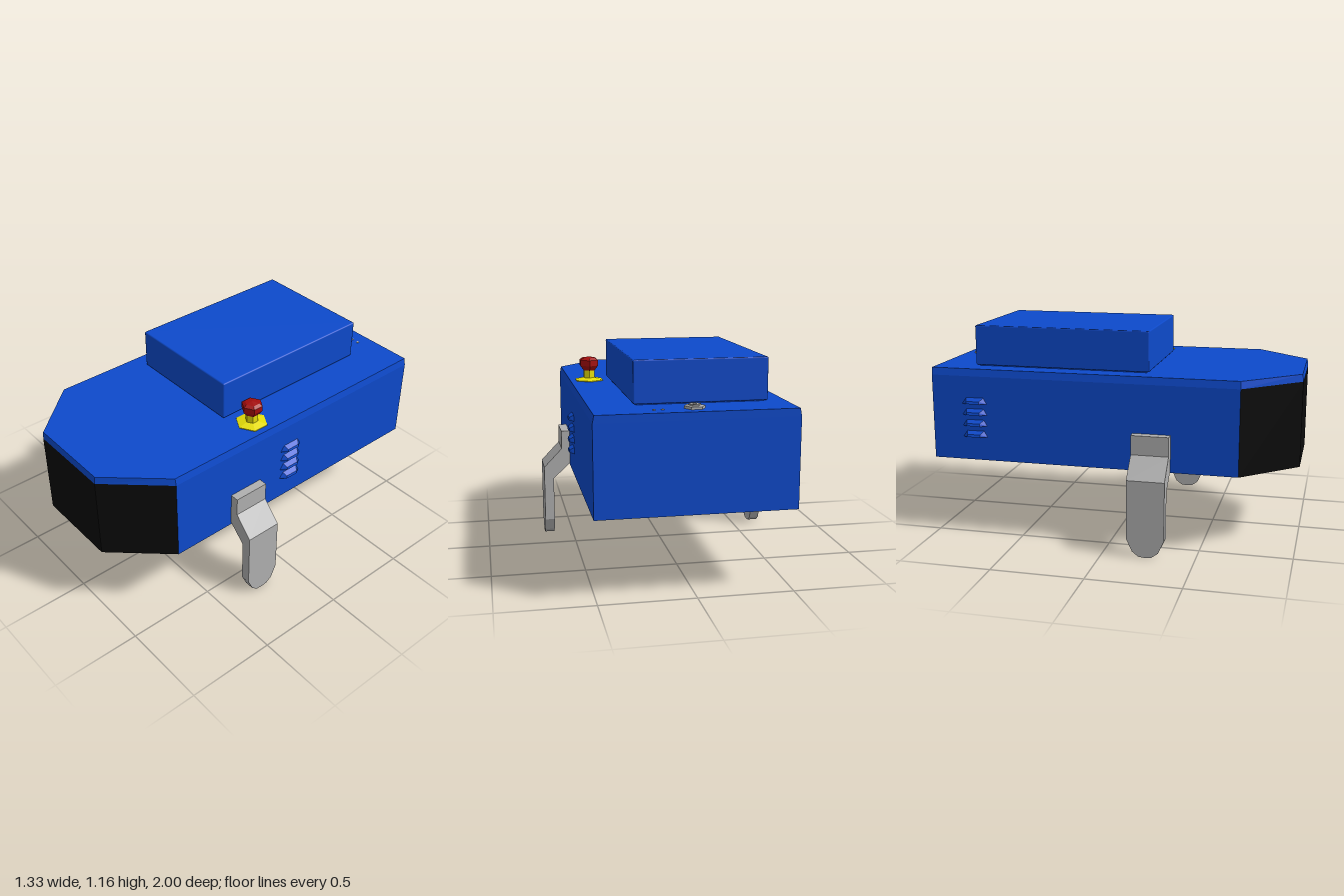
import * as THREE from 'three';
import { ConvexGeometry } from 'three/addons/geometries/ConvexGeometry.js';
import { RoundedBoxGeometry } from 'three/addons/geometries/RoundedBoxGeometry.js';

const blue = new THREE.MeshStandardMaterial({ color: 0x0d4acc });
const black = new THREE.MeshStandardMaterial({ color: 0x0a0a0a });
const grey = new THREE.MeshStandardMaterial({ color: 0xb0b0b0 });
const red = new THREE.MeshStandardMaterial({ color: 0xa30c0c });
const yellow = new THREE.MeshStandardMaterial({ color: 0xe6de08 });
Object.entries({ blue, black, grey, red, yellow }).forEach(([n, m]) => { m.name = n; });

function add(parent, name, geometry, material, x = 0, y = 0, z = 0) {
  const mesh = new THREE.Mesh(geometry, material);
  mesh.name = name;
  mesh.position.set(x, y, z);
  parent.add(mesh);
  return mesh;
}

// Faceted copy of a geometry
function faceted(geometry) {
  const g = geometry.index ? geometry.toNonIndexed() : geometry;
  g.computeVertexNormals();
  return g;
}

// Six-sided turned part from [radius, height] pairs, bottom to top
function turned(profile) {
  return faceted(new THREE.LatheGeometry(profile.map(([r, y]) => new THREE.Vector2(r, y)), 6));
}

function fromCorners(positions) {
  const g = new THREE.BufferGeometry();
  g.setAttribute('position', new THREE.Float32BufferAttribute(positions, 3));
  g.computeVertexNormals();
  return g;
}

// Hull outline at one height: nose edge first, anticlockwise from above
function ring(w, y, nose) {
  return [[-0.24, nose], [0.24, nose], [w, 0.7], [w, -1], [-w, -1], [-w, 0.7]].map(([x, z]) => [x, y, z]);
}

function buildHull(parent) {
  const rings = [ring(0.512, 0.43, 1), ring(0.512, 0.9, 1), ring(0.504, 0.94, 0.995)];
  const shell = [];
  const nose = [];
  for (let r = 0; r < 2; r++) {
    for (let i = 0; i < 6; i++) {
      const j = (i + 1) % 6;
      const [a, b, c, d] = [rings[r][i], rings[r][j], rings[r + 1][j], rings[r + 1][i]];
      const isNose = r === 0 && (i === 0 || i === 1 || i === 5);
      (isNose ? nose : shell).push(...a, ...b, ...c, ...a, ...c, ...d);
    }
  }
  // Floor and deck
  for (let i = 1; i < 5; i++) {
    shell.push(...rings[2][0], ...rings[2][i], ...rings[2][i + 1]);
    shell.push(...rings[0][0], ...rings[0][i + 1], ...rings[0][i]);
  }
  add(parent, 'bodyShell', fromCorners(shell), blue);
  add(parent, 'nosePanel', fromCorners(nose), black);
}

// Bent bracket and round-ended foot, mirrored by side
function buildLeg(side) {
  const leg = new THREE.Group();
  leg.name = side > 0 ? 'leftLeg' : 'rightLeg';
  const bracket = new THREE.Shape([
    [0.505, 0.635], [0.505, 0.45], [0.61, 0.35], [0.61, 0.1], [0.665, 0.1],
    [0.665, 0.42], [0.56, 0.53], [0.56, 0.635],
  ].map(([x, y]) => new THREE.Vector2(side * x, y)));
  add(leg, 'bracket', new THREE.ExtrudeGeometry(bracket, { depth: 0.204, bevelEnabled: false }), grey, 0, 0, 0.135);

  const foot = new THREE.Shape([
    [-0.102, 0.1], [-0.07, 0.03], [-0.035, 0.004], [0, 0], [0.035, 0.004], [0.07, 0.03], [0.102, 0.1],
  ].map(([x, y]) => new THREE.Vector2(x, y)));
  const footGeometry = new THREE.ExtrudeGeometry(foot, { depth: 0.055, bevelEnabled: false });
  footGeometry.rotateY(Math.PI / 2);
  add(leg, 'foot', footGeometry, grey, side > 0 ? 0.61 : -0.665, 0, 0.237);
  return leg;
}

// Four hooded louvres, flaring outward toward their lower edge
function buildVents(side, z) {
  const vents = new THREE.Group();
  vents.name = side > 0 ? 'leftVents' : 'rightVents';
  const hood = [
    [0.505, 0, -0.078], [0.505, 0, 0.078], [0.505, 0.04, -0.055], [0.505, 0.04, 0.05],
    [0.54, 0.004, -0.035], [0.54, 0.004, 0.04], [0.536, 0.018, -0.035], [0.536, 0.018, 0.04],
  ].map(([x, y, dz]) => new THREE.Vector3(side * x, y, dz * side));
  const geometry = new ConvexGeometry(hood);
  for (let i = 0; i < 4; i++) add(vents, 'louvre', geometry, blue, 0, 0.56 + i * 0.062, z);
  return vents;
}

export function createModel() {
  const model = new THREE.Group();
  model.name = 'mobileUnit';

  buildHull(model);

  // Raised box on the deck, standing on a thin seam
  add(model, 'topBox', new RoundedBoxGeometry(0.69, 0.22, 0.98, 1, 0.007), blue, -0.063, 1.055, -0.29);
  add(model, 'topBoxSeam', new THREE.BoxGeometry(0.66, 0.01, 0.95), blue, -0.063, 0.943, -0.29);

  // Stop button
  const button = new THREE.Group();
  button.name = 'stopButton';
  button.position.set(0.395, 0.938, 0.1);
  add(button, 'buttonCollar', turned([[0.087, 0], [0.087, 0.006], [0.035, 0.018], [0.035, 0.064]]), yellow);
  add(button, 'buttonHead', turned([[0, 0.06], [0.036, 0.06], [0.058, 0.088], [0.058, 0.12], [0.04, 0.132], [0, 0.138]]), red);
  model.add(button);

  // Rear socket and indicator pins
  const socket = new THREE.Group();
  socket.name = 'rearSocket';
  socket.position.set(0, 0.938, -0.9);
  const flange = turned([[0.053, 0], [0.053, 0.015], [0.03, 0.017], [0.03, 0.024], [0.012, 0.024], [0, 0.016]]);
  flange.rotateY(Math.PI / 6);
  add(socket, 'socketFlange', flange, grey);
  for (const x of [0.162, 0.205]) {
    add(socket, 'indicatorPin', turned([[0.008, 0], [0.008, 0.006], [0, 0.008]]), grey, x, 0, -0.02);
  }
  model.add(socket);

  for (const side of [1, -1]) model.add(buildLeg(side));
  model.add(buildVents(1, -0.085), buildVents(-1, -0.755));
  return model;
}
